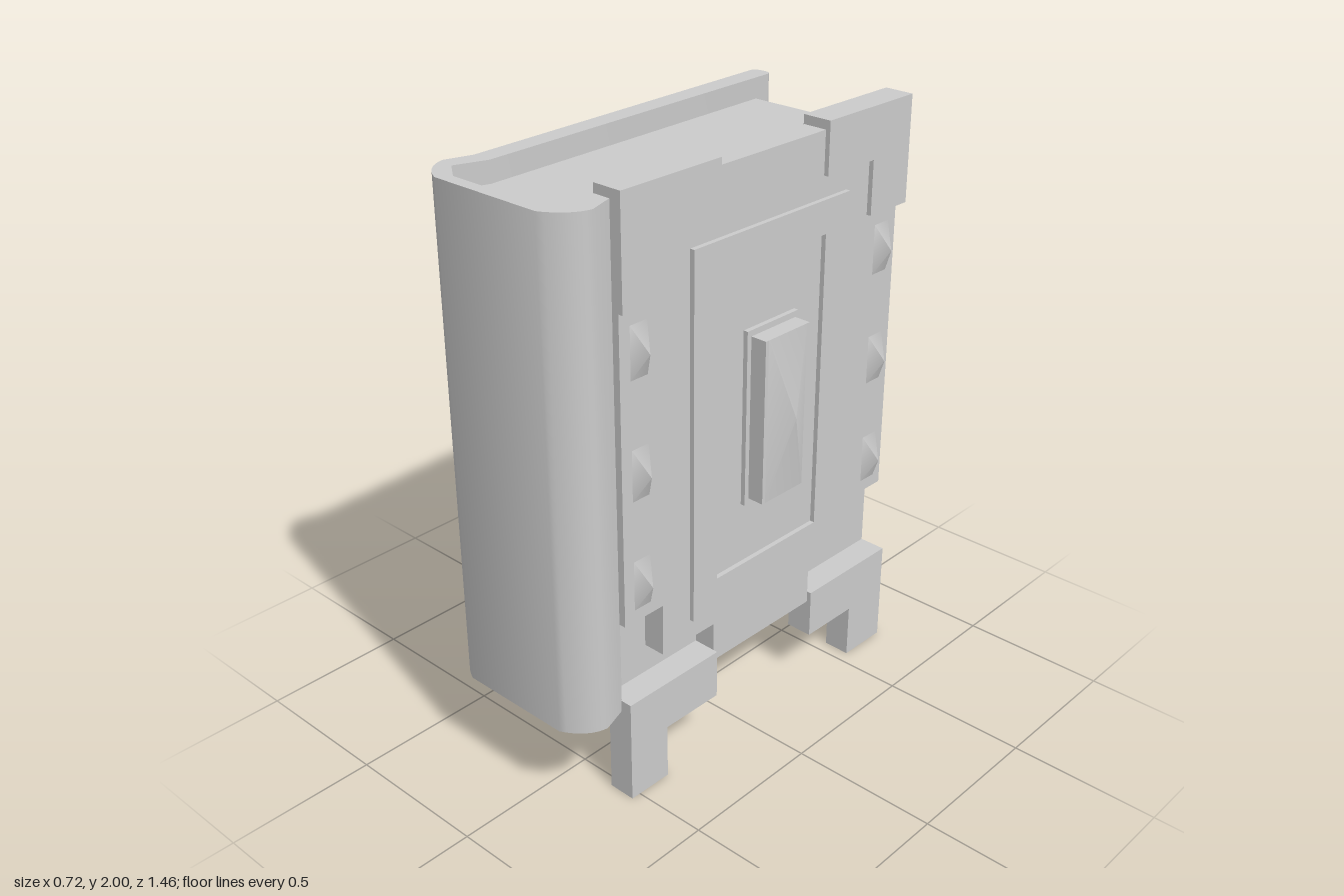
import * as THREE from 'three';
import { toCreasedNormals } from 'three/addons/utils/BufferGeometryUtils.js';

const mat = new THREE.MeshStandardMaterial({ color: 0xcccccc });

function add(parent, name, geometry) {
  const mesh = new THREE.Mesh(geometry, mat);
  mesh.name = name;
  parent.add(mesh);
  return mesh;
}

const extrude = (shape, depth) =>
  new THREE.ExtrudeGeometry(shape, { depth, bevelEnabled: false, curveSegments: 8 });

// Plan outline (x, z) raised from y0 to y1
function upright(shape, y0, y1) {
  const g = extrude(shape, y1 - y0).rotateX(-Math.PI / 2).translate(0, y0, 0);
  return toCreasedNormals(g, 0.6);
}

// Side outline (-z, y) pushed outwards from x0 to x1
const sideways = (shape, x0, x1) => extrude(shape, x1 - x0).rotateY(Math.PI / 2).translate(x0, 0, 0);

const polygon = (pts) => new THREE.Shape(pts.map(([a, b]) => new THREE.Vector2(a, b)));
const rect = (u0, u1, v0, v1) => polygon([[u0, v0], [u1, v0], [u1, v1], [u0, v1]]);

// Four-sided point facing +x
function spike(height, tall, wide) {
  return new THREE.ConeGeometry(Math.SQRT1_2, 1, 4, 1).rotateY(Math.PI / 4)
    .toNonIndexed().rotateZ(-Math.PI / 2).translate(0.5, 0, 0).scale(height, tall, wide);
}

// L-shaped corner: outer corner at (u, v), arms along du and dv
function cornerShape(u, v, du, dv, arm, width) {
  const pts = [[0, 0], [arm, 0], [arm, 0.17], [width, 0.17], [width, 0.35], [0, 0.35]]
    .map(([a, b]) => [u + du * a, v + dv * b]);
  return polygon(du * dv > 0 ? pts : pts.reverse());
}

export function createModel() {
  const book = new THREE.Group();
  book.name = 'book';

  // Back board and rounded spine in one strip
  const s = new THREE.Shape();
  s.moveTo(-0.285, 0.69);
  s.quadraticCurveTo(-0.287, 0.71, -0.32, 0.71);
  s.quadraticCurveTo(-0.356, 0.71, -0.358, 0.69);
  s.lineTo(-0.332, -0.53);
  s.lineTo(-0.36, -0.62);
  s.quadraticCurveTo(-0.345, -0.69, -0.26, -0.73);
  s.lineTo(0.14, -0.73);
  s.quadraticCurveTo(0.225, -0.69, 0.237, -0.62);
  s.lineTo(0.208, -0.53);
  s.lineTo(0.15, -0.53);
  s.lineTo(0.18, -0.635);
  s.lineTo(0.14, -0.69);
  s.lineTo(-0.23, -0.69);
  s.lineTo(-0.303, -0.635);
  s.lineTo(-0.265, -0.53);
  s.closePath();
  add(book, 'spineAndBackBoard', upright(s, 0.32, 1.97));

  // Page block
  add(book, 'pages', upright(polygon([
    [-0.285, 0.63], [-0.267, -0.53], [-0.3, -0.63], [-0.23, -0.69],
    [0.14, -0.69], [0.178, -0.63], [0.148, -0.53], [0.16, 0.63],
  ]), 0.39, 1.9));

  // Front cover and its fittings lean slightly outwards
  const front = new THREE.Group();
  front.name = 'frontCover';
  front.rotation.y = -0.013;
  book.add(front);

  // Front board, notched at the two lower corners
  add(front, 'frontBoard', sideways(polygon([
    [-0.14, 0.32], [0.33, 0.32], [0.33, 0.46], [0.55, 0.46], [0.55, 0.64], [0.7, 0.64],
    [0.7, 1.97], [-0.53, 1.97], [-0.53, 0.64], [-0.37, 0.64], [-0.37, 0.46], [-0.14, 0.46],
  ]), 0.158, 0.24));

  // Metal corners: upper ones cap the board, lower ones hang below it
  for (const [u, du, arm, width] of [[-0.53, 1, 0.39, 0.16], [0.73, -1, 0.4, 0.18]]) {
    add(front, 'upperCorner', sideways(cornerShape(u, 2, du, -1, arm, width), 0.155, 0.256));
    add(front, 'lowerCornerBacking', sideways(cornerShape(u, 0.29, du, 1, arm, width), 0.153, 0.162));
    const low = [[0, 0], [width, 0], [width, 0.19], [arm, 0.19], [arm, 0.36], [0, 0.36]]
      .map(([a, b]) => [u + du * a, b]);
    add(front, 'lowerCorner', sideways(polygon(du > 0 ? low : low.reverse()), 0.162, 0.256));
  }

  // Raised rectangular frame
  const frame = rect(-0.25, 0.44, 0.53, 1.76);
  frame.holes.push(rect(-0.145, 0.33, 0.64, 1.65));
  add(front, 'frame', sideways(frame, 0.235, 0.256));

  // Central jewel on a stepped mount
  add(front, 'jewelPlate', sideways(rect(-0.02, 0.21, 0.85, 1.44), 0.235, 0.256));
  add(front, 'jewelMount', sideways(rect(-0.003, 0.197, 0.87, 1.42), 0.25, 0.313));
  add(front, 'jewel', spike(0.042, 0.55, 0.175)).position.set(0.313, 1.145, -0.098);

  // Pointed studs in two columns
  for (const z of [0.455, -0.63])
    for (const y of [0.765, 1.135, 1.52])
      add(front, 'stud', spike(0.047, 0.175, 0.07)).position.set(0.238, y, z);

  return book;
}
